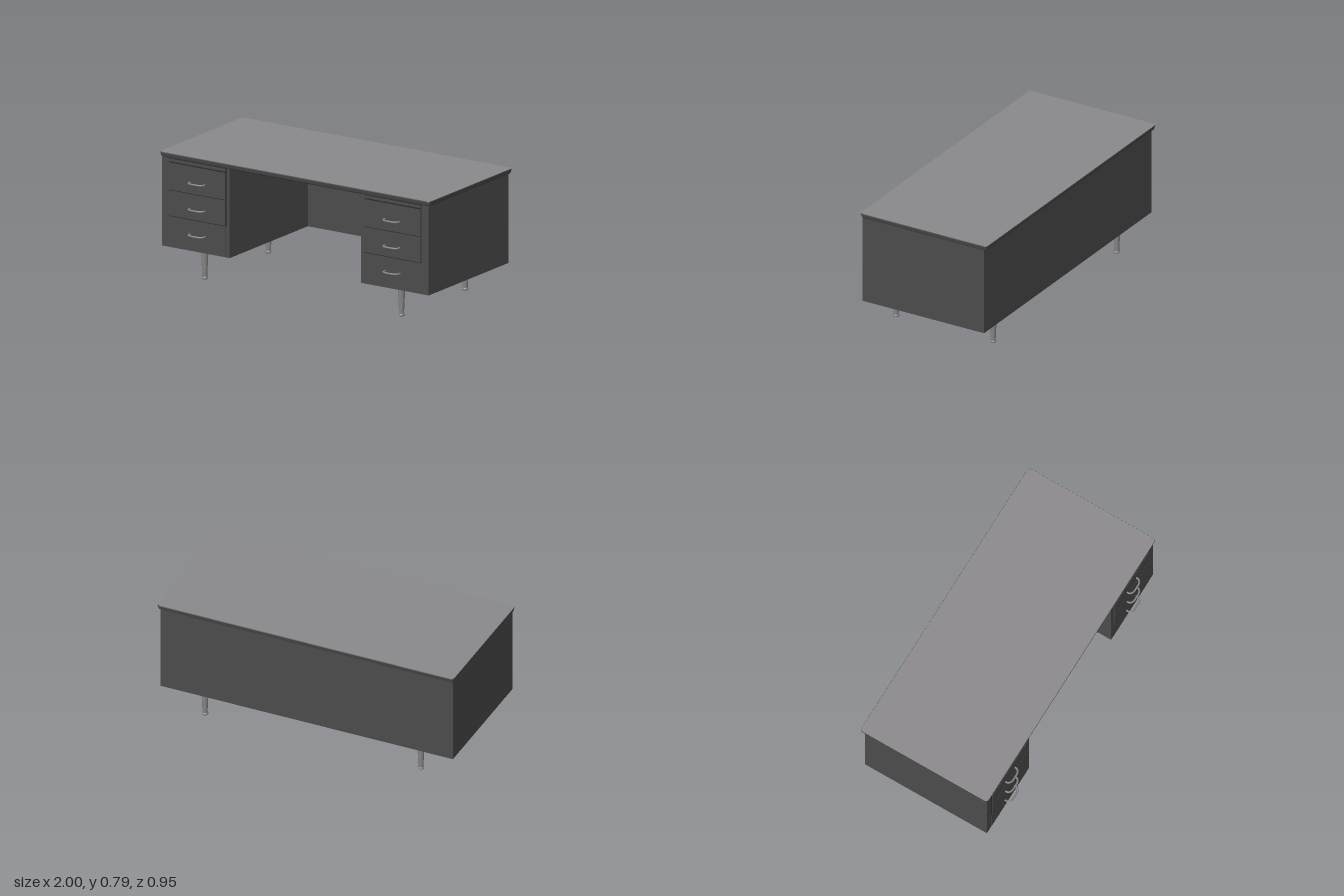
import * as THREE from 'three';

const bodyPaint = new THREE.MeshStandardMaterial({ color: 0x4b4b4b });
bodyPaint.name = 'charcoal body';
const topLaminate = new THREE.MeshStandardMaterial({ color: 0x8a888b });
topLaminate.name = 'grey laminate';
const metal = new THREE.MeshStandardMaterial({ color: 0x858585 });
metal.name = 'brushed metal';
const gapDark = new THREE.MeshStandardMaterial({ color: 0x2b2b2b });
gapDark.name = 'dark gap';

function add(parent, name, geometry, material, x = 0, y = 0, z = 0) {
  const mesh = new THREE.Mesh(geometry, material);
  mesh.name = name;
  mesh.position.set(x, y, z);
  parent.add(mesh);
  return mesh;
}

// Box given by its limits
function addBox(parent, name, material, x0, x1, y0, y1, z0, z1) {
  return add(parent, name, new THREE.BoxGeometry(x1 - x0, y1 - y0, z1 - z0), material,
    (x0 + x1) / 2, (y0 + y1) / 2, (z0 + z1) / 2);
}

// Rounded outline of the desktop, drawn inset from its widest edge
function topOutline(inset) {
  const w = 1 - inset, h = 0.455 - inset, r = 0.022 - inset * 0.5;
  const s = new THREE.Shape();
  s.absarc(w - r, h - r, r, 0, Math.PI / 2);
  s.absarc(-w + r, h - r, r, Math.PI / 2, Math.PI);
  s.absarc(-w + r, -h + r, r, Math.PI, Math.PI * 1.5);
  s.absarc(w - r, -h + r, r, Math.PI * 1.5, Math.PI * 2);
  s.closePath();
  return s;
}

// Edge of the desktop, lofted between inset outlines
function edgeGeometry(levels) {
  const rings = levels.map(([inset, y]) =>
    topOutline(inset).getPoints(6).map(p => [p.x, y, -p.y]));
  const pos = [];
  for (let k = 0; k < rings.length - 1; k++) {
    const lo = rings[k], hi = rings[k + 1];
    for (let i = 0; i < lo.length; i++) {
      const j = (i + 1) % lo.length;
      pos.push(...lo[i], ...lo[j], ...hi[j], ...lo[i], ...hi[j], ...hi[i]);
    }
  }
  const g = new THREE.BufferGeometry();
  g.setAttribute('position', new THREE.Float32BufferAttribute(pos, 3));
  g.computeVertexNormals();
  return g;
}

function makeTop() {
  const top = new THREE.Group();
  top.name = 'desktop';
  const levels = [[0.015, 0.755], [0.006, 0.762], [0.003, 0.772], [0, 0.786], [0.002, 0.79]];
  add(top, 'desktopEdge', edgeGeometry(levels), bodyPaint);
  add(top, 'desktopSurface', new THREE.ShapeGeometry(topOutline(0.002), 6).rotateX(-Math.PI / 2),
    topLaminate, 0, 0.79);
  // The underside outline is symmetric, so it can be flipped over
  add(top, 'desktopUnderside', new THREE.ShapeGeometry(topOutline(0.015), 6).rotateX(Math.PI / 2),
    bodyPaint, 0, 0.755);
  top.position.z = -0.015;
  return top;
}

// Bowed pull with a straight bar close to the drawer
function makeHandle() {
  const handle = new THREE.Group();
  handle.name = 'handle';
  const bow = new THREE.CatmullRomCurve3([
    [-0.055, 0], [-0.053, 0.022], [-0.036, 0.036], [0, 0.039],
    [0.036, 0.036], [0.053, 0.022], [0.055, 0],
  ].map(([x, z]) => new THREE.Vector3(x, 0, z)));
  add(handle, 'handleBow', new THREE.TubeGeometry(bow, 28, 0.006, 8), metal);
  return handle;
}

function makePedestal(side) {
  const pedestal = new THREE.Group();
  pedestal.name = side > 0 ? 'leftPedestal' : 'rightPedestal';
  const span = (a, b) => side > 0 ? [a, b] : [-b, -a];
  addBox(pedestal, 'cabinet', bodyPaint, ...span(0.485, 0.985), 0.19, 0.757, -0.443, 0.428);

  // Dark reveal behind the drawer fronts
  const [x0, x1] = span(0.51, 0.932);
  addBox(pedestal, 'drawerGap', gapDark, x0, x1, 0.386, 0.756, 0.425, 0.429);
  addBox(pedestal, 'writingSlide', bodyPaint, x0 + 0.004, x1 - 0.004, 0.737, 0.753, 0.425, 0.434);
  const drawers = [[0.195, 0.386, 0.296, 0.43], [0.392, 0.551, 0.46, 0.434], [0.557, 0.727, 0.627, 0.434]];
  for (const [y0, y1, yHandle, front] of drawers) {
    addBox(pedestal, 'drawerFront', bodyPaint, x0 + 0.004, x1 - 0.004, y0, y1, 0.425, front);
    const handle = makeHandle();
    handle.position.set(side * 0.72, yHandle, 0.43);
    pedestal.add(handle);
  }
  return pedestal;
}

// Tapered leg with a collared foot and a square mounting plate
function makeLeg() {
  const leg = new THREE.Group();
  leg.name = 'leg';
  const profile = [[0, 0], [0.017, 0], [0.02, 0.004], [0.02, 0.011], [0.0155, 0.014], [0.0155, 0.016], [0.023, 0.186]];
  const lathe = new THREE.LatheGeometry(profile.map(p => new THREE.Vector2(...p)), 24);
  add(leg, 'legShaft', lathe, metal);
  addBox(leg, 'mountingPlate', metal, -0.046, 0.046, 0.185, 0.191, -0.046, 0.046);
  return leg;
}

export function createModel() {
  const desk = new THREE.Group();
  desk.name = 'desk';
  desk.add(makeTop());
  for (const side of [-1, 1]) {
    desk.add(makePedestal(side));
    for (const z of [0.343, -0.351]) {
      const leg = makeLeg();
      leg.position.set(side * 0.727, 0, z);
      desk.add(leg);
    }
  }
  // Panel closing the back of the kneehole
  addBox(desk, 'modestyPanel', bodyPaint, -0.486, 0.486, 0.19, 0.757, -0.443, -0.423);
  return desk;
}
